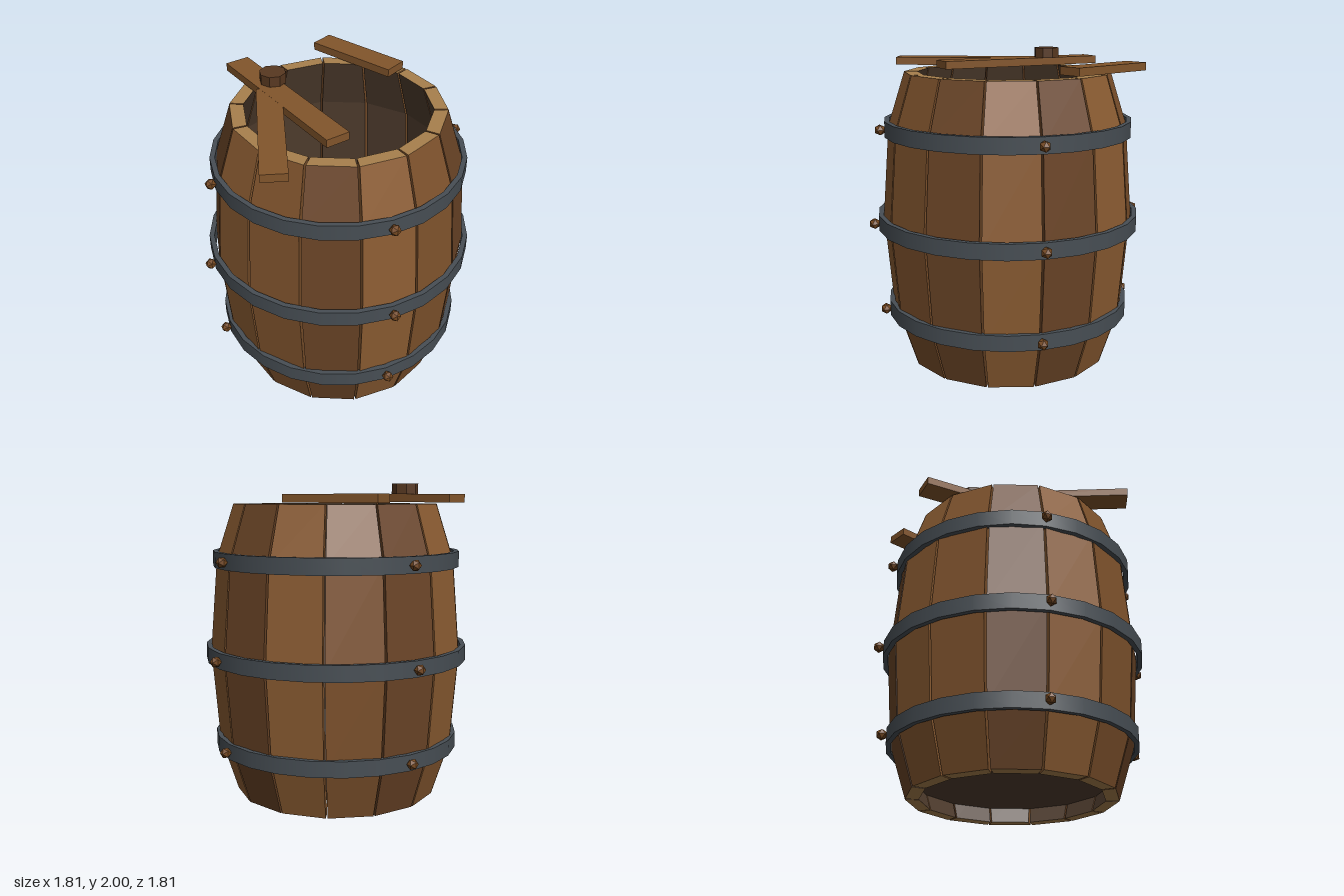
import * as THREE from 'three';
import { mergeGeometries } from 'three/addons/utils/BufferGeometryUtils.js';

const mat = (name, color, flatShading = true) => {
  const m = new THREE.MeshStandardMaterial({ color, flatShading });
  m.name = name;
  return m;
};

const STAVES = 14;
const GAP = 0.009; // half gap between staves, in radians
const THICK = 0.085;
const PROFILE = [[0.656, 0], [0.767, 0.345], [0.815, 0.935], [0.767, 1.53], [0.656, 1.875]];

// One bulging stave; groups: 0 outer and sides, 1 end grain, 2 inner face
function staveGeometry(angle) {
  const half = Math.PI / STAVES - GAP;
  const corner = (r, y, s) => [r * Math.cos(angle + s * half), y, r * Math.sin(angle + s * half)];
  // each section: outer+, outer-, inner-, inner+
  const rings = PROFILE.map(([r, y]) => [
    corner(r, y, 1), corner(r, y, -1), corner(r - THICK, y, -1), corner(r - THICK, y, 1)]);
  const parts = [[], [], []];
  const quad = (list, a, b, c, d) => list.push(...a, ...b, ...c, ...a, ...c, ...d);
  for (let i = 0; i < rings.length - 1; i++) {
    const lo = rings[i], hi = rings[i + 1];
    for (let k = 0; k < 4; k++) {
      const n = (k + 1) % 4;
      quad(parts[k === 2 ? 2 : 0], lo[k], lo[n], hi[n], hi[k]);
    }
  }
  const top = rings[rings.length - 1], bottom = rings[0];
  quad(parts[1], top[0], top[1], top[2], top[3]);
  quad(parts[1], bottom[3], bottom[2], bottom[1], bottom[0]);

  const geo = new THREE.BufferGeometry();
  geo.setAttribute('position', new THREE.Float32BufferAttribute(parts.flat(), 3));
  let start = 0;
  parts.forEach((p, i) => {
    geo.addGroup(start, p.length / 3, i);
    start += p.length / 3;
  });
  geo.computeVertexNormals();
  return geo;
}

// Rectangular band with smooth sides and sharp rims
function hoopGeometry(outer, height, thickness) {
  const inner = outer - thickness, h = height / 2;
  const loop = [[inner, -h], [outer, -h], [outer, h], [inner, h]].map(p => new THREE.Vector2(...p));
  return mergeGeometries(loop.map((p, i) => new THREE.LatheGeometry([p, loop[(i + 1) % 4]], 24)));
}

export function createModel() {
  const group = new THREE.Group();
  const woods = [mat('lightWood', 0x8b5c32), mat('darkWood', 0x6a4426), mat('midWood', 0x7e522c)];
  const endGrain = mat('endGrain', 0xa8804d);
  const interior = mat('interiorWood', 0x503d2e);
  const iron = mat('iron', 0x474e54, false);
  const rivetMat = mat('rivetBrown', 0x754820);
  const plankMat = mat('plankWood', 0x82552b);
  const knobMat = mat('knobWood', 0x583820);

  const add = (name, geo, material, x = 0, y = 0, z = 0, turn = 0) => {
    const mesh = new THREE.Mesh(geo, material);
    mesh.name = name;
    mesh.position.set(x, y, z);
    mesh.rotation.y = turn;
    group.add(mesh);
    return mesh;
  };

  // Barrel wall
  for (let i = 0; i < STAVES; i++) {
    const angle = (i + 0.5) * 2 * Math.PI / STAVES;
    add('stave', staveGeometry(angle), [woods[i % 3], endGrain, interior]);
  }

  // Floor
  add('floor', new THREE.CylinderGeometry(0.61, 0.61, 0.06, 28), interior, 0, 0.13, 0);

  // Hoops, each with four rivets
  const rivet = new THREE.IcosahedronGeometry(0.036, 0);
  for (const [y, r] of [[0.35, 0.793], [0.93, 0.847], [1.53, 0.793]]) {
    add('hoop', hoopGeometry(r, 0.1, 0.032), iron, 0, y, 0);
    for (let k = 0; k < 4; k++) {
      const a = k * Math.PI / 2, d = r + 0.028;
      add('rivet', rivet, rivetMat, d * Math.cos(a), y, d * Math.sin(a));
    }
  }

  // Broken lid planks: x, z, length, turn
  const planks = [[-0.288, -0.152, 1.125, 0.22], [-0.481, 0.174, 0.924, -0.299], [0.351, -0.518, 0.615, 0.489]];
  planks.forEach(([x, z, length, turn], i) =>
    add('lidPlank', new THREE.BoxGeometry(0.155, 0.05, length), plankMat, x, 1.91 - i * 0.0005, z, turn));

  // Lid knob
  add('lidKnob', new THREE.CylinderGeometry(0.083, 0.083, 0.066, 8), knobMat, -0.29, 1.967, -0.347, 0.22);

  return group;
}
